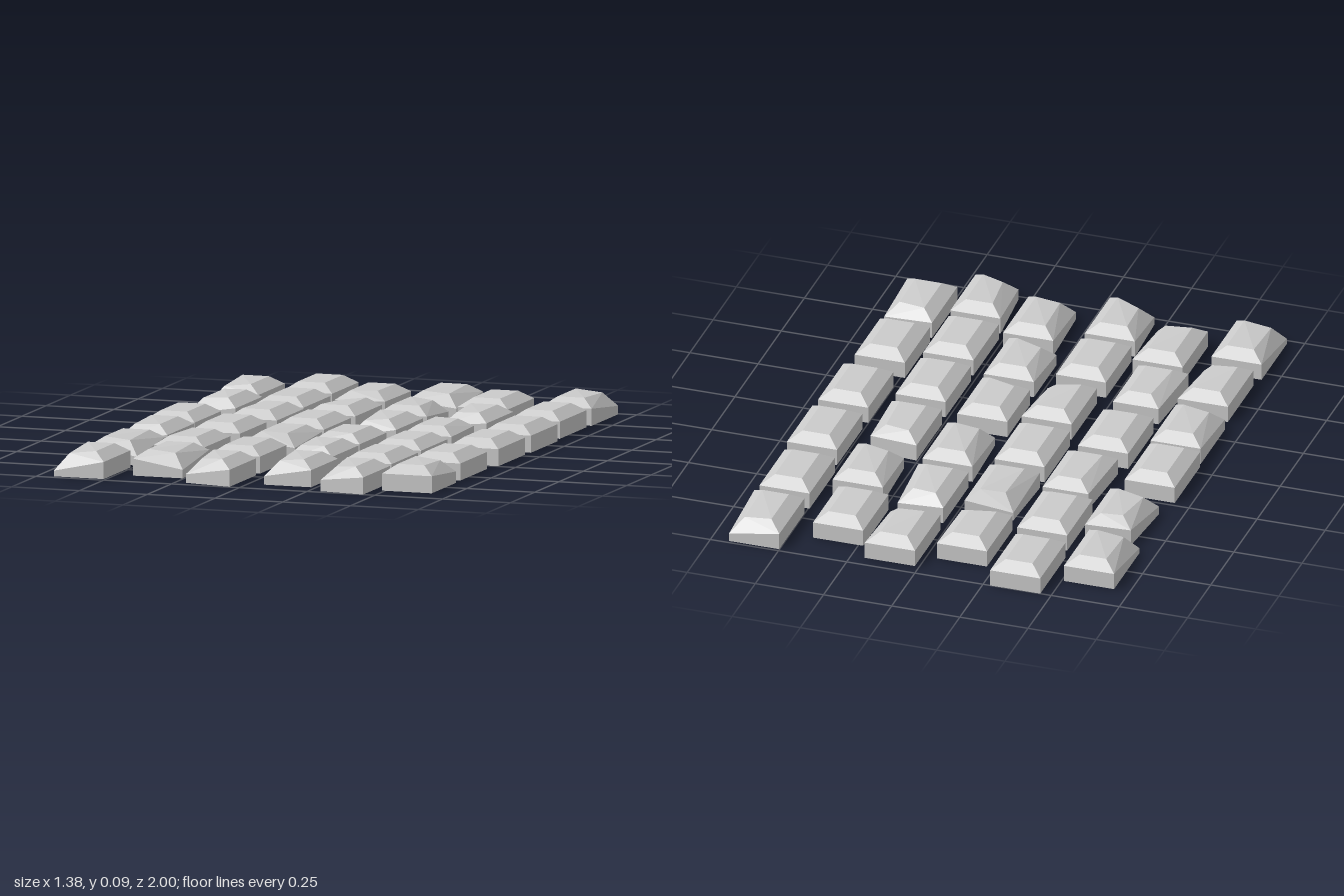
import * as THREE from 'three';
import { ConvexGeometry } from 'three/addons/geometries/ConvexGeometry.js';

const HALF_X = 0.092, HALF_Z = 0.137; // half footprint of a stone
const SHOULDER = 0.06, TOP = 0.09;    // start of the bevel, top face
const INSET = 0.043;                  // bevel width

// Stone centres, one list of [x, z] per column, back to front
const COLUMNS = [
  [[-0.6, -0.75], [-0.574, -0.444], [-0.6, -0.095], [-0.595, 0.2], [-0.587, 0.516], [-0.6, 0.841]],
  [[-0.368, -0.863], [-0.357, -0.54], [-0.347, -0.235], [-0.368, 0.085], [-0.381, 0.423], [-0.347, 0.733]],
  [[-0.13, -0.738], [-0.122, -0.415], [-0.124, -0.1], [-0.114, 0.222], [-0.13, 0.545], [-0.13, 0.857]],
  [[0.108, -0.815], [0.114, -0.492], [0.114, -0.177], [0.103, 0.167], [0.108, 0.468], [0.14, 0.77]],
  [[0.325, -0.735], [0.36, -0.42], [0.347, -0.095], [0.352, 0.233], [0.357, 0.548], [0.365, 0.863]],
  [[0.593, -0.852], [0.587, -0.542], [0.598, -0.214], [0.593, 0.108], [0.577, 0.455], [0.58, 0.757]],
];

// Corners as signs of x and z
const CORNERS = [[-1, -1], [1, -1], [1, 1], [-1, 1]];

// Worn corners: column, row, corner, inward x, inward z, drop of the shoulder
const CHIPS = [
  [0, 0, 3, 0, 0, 0.04], [0, 1, 0, 0.02, 0.01, 0], [0, 1, 3, 0, 0.018, 0.03],
  [0, 3, 3, 0, 0.015, 0.02], [0, 4, 2, 0.005, 0, 0.03], [0, 5, 3, 0, 0, 0.04],
  [1, 2, 0, 0.016, 0, 0], [1, 4, 0, 0.016, 0, 0], [1, 5, 2, 0, 0, 0.03],
  [2, 0, 2, 0.005, 0.02, 0], [2, 1, 0, 0.012, 0.02, 0.03], [2, 3, 2, 0.01, 0.02, 0.02],
  [2, 5, 3, 0.01, 0.035, 0.03], [3, 0, 2, 0, 0, 0.02], [3, 1, 1, 0.01, 0.02, 0.02],
  [3, 2, 3, 0.01, 0, 0.03], [3, 3, 3, 0, 0.03, 0], [3, 4, 3, 0, 0.03, 0.02],
  [3, 5, 3, 0.01, 0, 0.03], [4, 1, 3, 0.01, 0.015, 0.02], [4, 2, 1, 0.01, 0.015, 0],
  [4, 5, 3, 0.02, 0.02, 0.02], [5, 0, 1, 0, 0, 0.03], [5, 5, 1, 0, 0.025, 0.02],
];

// A bevelled block whose listed corners are pushed in and worn down
function stoneGeometry(chips) {
  const points = [];
  CORNERS.forEach(([sx, sz], corner) => {
    const chip = chips.find((c) => c[2] === corner);
    const [dx, dz, drop] = chip ? chip.slice(3) : [0, 0, 0];
    const x = HALF_X - dx, z = HALF_Z - dz;
    points.push(
      new THREE.Vector3(sx * x, 0, sz * z),
      new THREE.Vector3(sx * x, SHOULDER - drop, sz * z),
      new THREE.Vector3(sx * (x - INSET), TOP - drop * 0.3, sz * (z - INSET)),
    );
  });
  return new ConvexGeometry(points);
}

export function createModel() {
  const paving = new THREE.Group();
  paving.name = 'stonePaving';
  const material = new THREE.MeshStandardMaterial({ color: 0xcccccc, flatShading: true });

  COLUMNS.forEach((stones, column) => {
    const line = new THREE.Group();
    line.name = `stoneColumn${column + 1}`;
    stones.forEach(([x, z], row) => {
      const chips = CHIPS.filter((c) => c[0] === column && c[1] === row);
      const stone = new THREE.Mesh(stoneGeometry(chips), material);
      stone.name = `pavingStone${row + 1}`;
      stone.position.set(x, 0, z);
      line.add(stone);
    });
    paving.add(line);
  });
  return paving;
}
